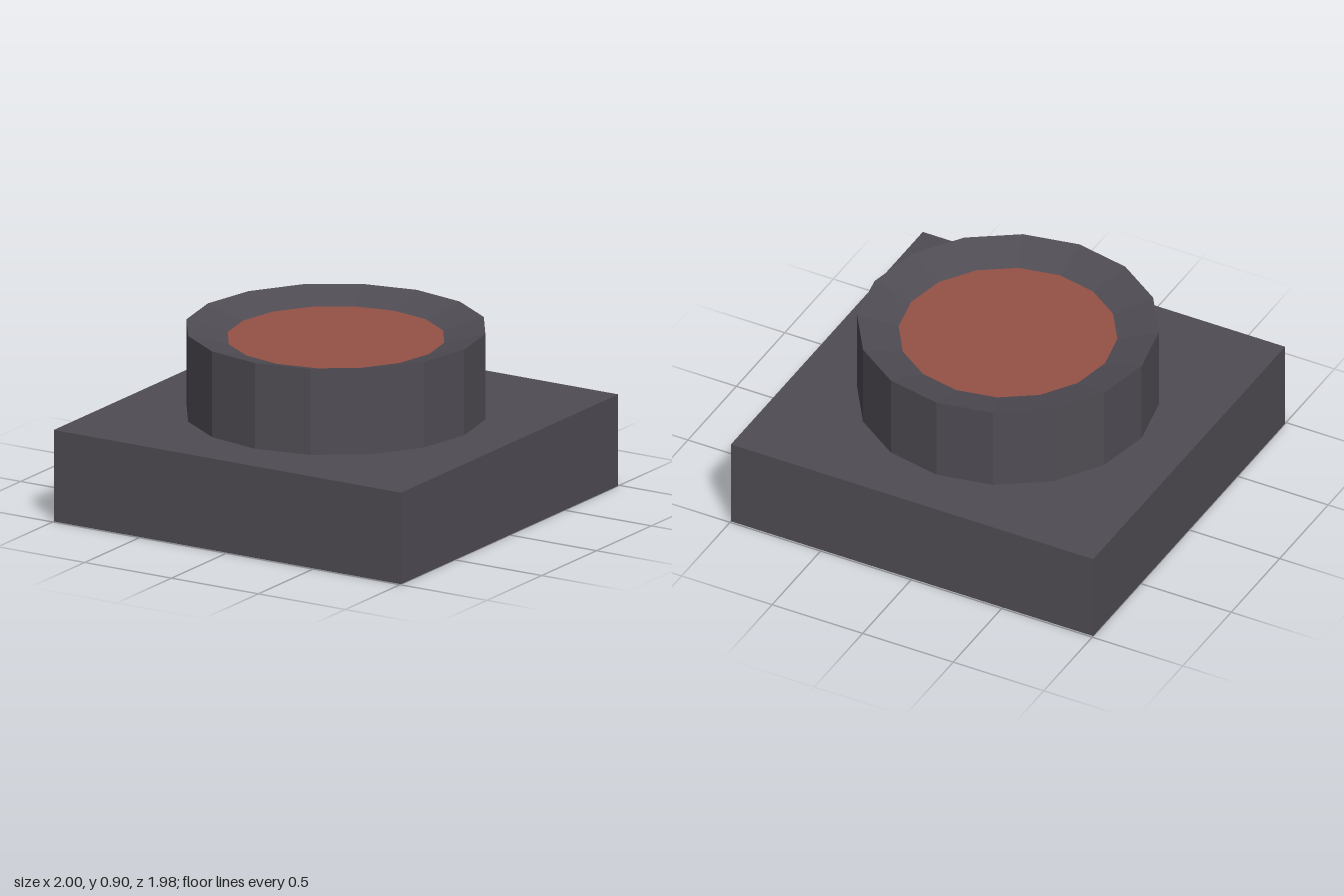
import * as THREE from 'three';

export function createModel() {
  const model = new THREE.Group();
  const charcoal = new THREE.MeshStandardMaterial({ color: 0x504c54, flatShading: true });
  charcoal.name = 'charcoal';
  const brickRed = new THREE.MeshStandardMaterial({ color: 0x955146, flatShading: true });
  brickRed.name = 'brickRed';

  const sides = 16;
  const baseHeight = 0.465;
  const topY = 0.9;
  const discY = 0.845;
  const outerRadius = 0.738;
  const innerRadius = 0.535;

  const add = (name, geometry, material, y = 0) => {
    const mesh = new THREE.Mesh(geometry, material);
    mesh.name = name;
    mesh.position.y = y;
    model.add(mesh);
  };

  // Square slab
  add('base', new THREE.BoxGeometry(2, baseHeight, 1.98), charcoal, baseHeight / 2);

  // Drum wall with a rim that slopes inward to the disc
  const profile = [
    [outerRadius, baseHeight],
    [outerRadius, topY],
    [innerRadius, discY],
  ].map(([r, y]) => new THREE.Vector2(r, y));
  add('drum', new THREE.LatheGeometry(profile, sides), charcoal);

  // Recessed coloured disc
  const disc = new THREE.CircleGeometry(innerRadius, sides).rotateX(-Math.PI / 2);
  add('disc', disc, brickRed, discY);

  return model;
}
